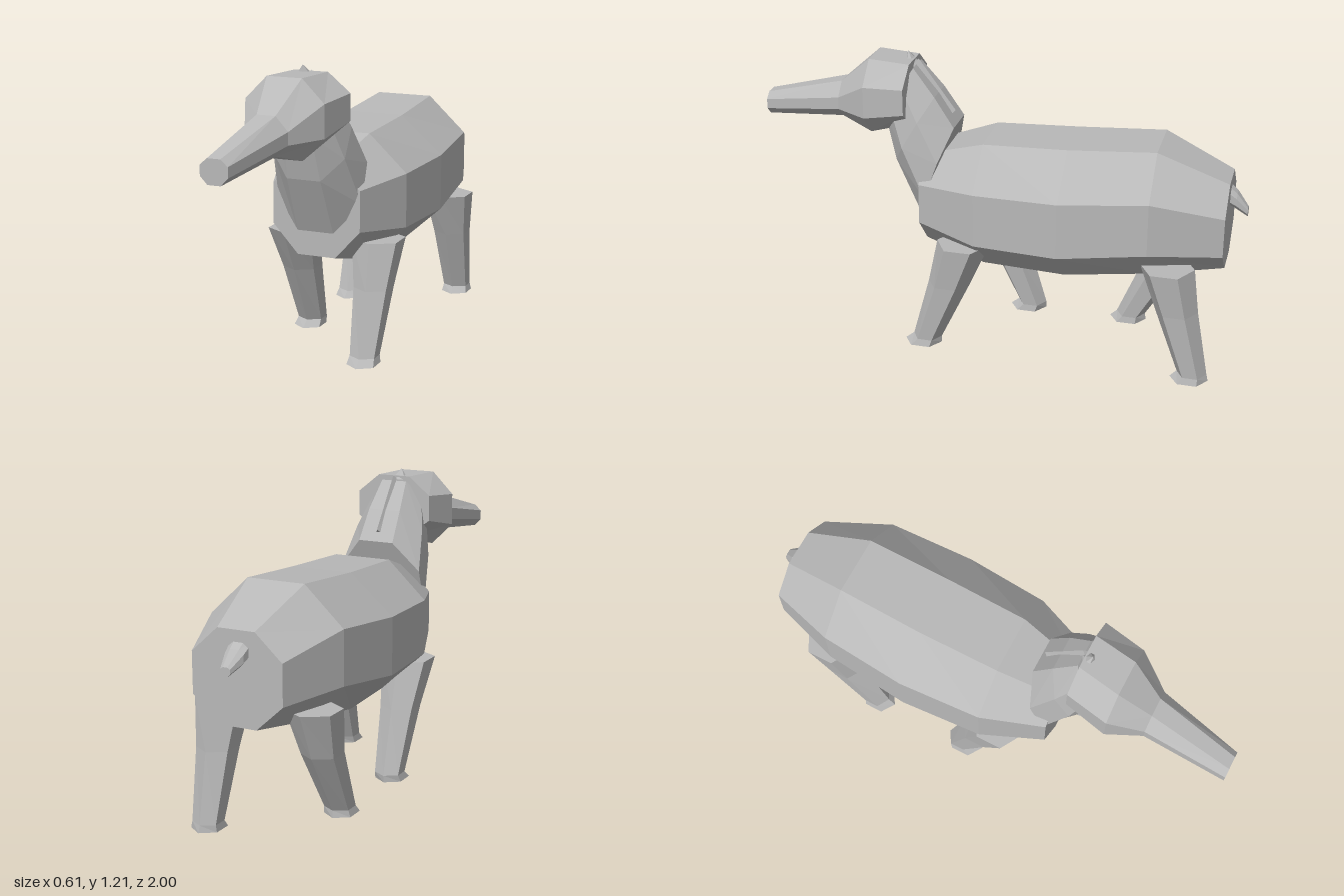
import * as THREE from 'three';

const grey = new THREE.MeshStandardMaterial({ color: 0xb8b8b8 });
grey.name = 'stone grey';

// Faceted closed skin over rings of equal point count, with flat end caps
function loft(name, rings) {
  const tris = [];
  const n = rings[0].length;
  for (let r = 0; r < rings.length - 1; r++) {
    for (let i = 0; i < n; i++) {
      const j = (i + 1) % n;
      const [a, b, c, d] = [rings[r][i], rings[r][j], rings[r + 1][j], rings[r + 1][i]];
      tris.push([a, b, c], [a, c, d]);
    }
  }
  const last = rings[rings.length - 1];
  for (let i = 1; i < n - 1; i++) {
    tris.push([rings[0][0], rings[0][i + 1], rings[0][i]], [last[0], last[i], last[i + 1]]);
  }
  // turn every face outward
  const volume = tris.reduce((s, [a, b, c]) => s + a.dot(b.clone().cross(c)), 0);
  const pts = tris.flatMap(([a, b, c]) => (volume < 0 ? [a, c, b] : [a, b, c]));
  const geo = new THREE.BufferGeometry().setFromPoints(pts);
  geo.computeVertexNormals();
  const mesh = new THREE.Mesh(geo, grey);
  mesh.name = name;
  return mesh;
}

// Octagon: narrow (flat) at the first and last level, wide at the middle two; levels are [y, z]
function octagon(cx, wide, flat, levels) {
  const widths = [flat, wide, wide, flat];
  const side = (s) => levels.map(([y, z], i) => new THREE.Vector3(cx + s * widths[i], y, z));
  return [...side(1), ...side(-1).reverse()];
}
const upright = (z, cx, wide, flat, ys) => octagon(cx, wide, flat, ys.map((y) => [y, z]));

// Octagon tilted between a back point and a front point
function tilted(cx, wide, flat, back, front) {
  const at = (t) => [back[0] + (front[0] - back[0]) * t, back[1] + (front[1] - back[1]) * t];
  return octagon(cx, wide, flat, [0, 0.3, 0.7, 1].map(at));
}

// Horizontal hexagon with corners to the front and back
function hexagon(x, y, z, rx, rz) {
  return Array.from({ length: 6 }, (_, i) => {
    const a = (i * Math.PI) / 3;
    return new THREE.Vector3(x + rx * Math.sin(a), y, z + rz * Math.cos(a));
  });
}

// Leg with hip, knee, ankle and flared foot
function leg(name, side, ground, hip, knee, ankle, foot) {
  return loft(name, [
    hexagon(side * 0.19, 0.485, hip, 0.108, 0.108),
    hexagon(side * 0.193, 0.3, knee, 0.08, 0.086),
    hexagon(side * 0.195, ground + 0.028, ankle, 0.06, 0.06),
    hexagon(side * 0.197, ground, foot, 0.066, 0.077),
  ]);
}

export function createModel() {
  const model = new THREE.Group();
  model.name = 'animal';

  model.add(loft('body', [
    upright(0.29, 0, 0.185, 0.08, [0.81, 0.715, 0.55, 0.435]),
    upright(0.04, 0, 0.28, 0.12, [0.89, 0.74, 0.52, 0.37]),
    upright(-0.3, 0, 0.303, 0.125, [0.905, 0.75, 0.52, 0.36]),
    upright(-0.65, 0, 0.28, 0.12, [0.93, 0.78, 0.565, 0.41]),
    upright(-0.93, 0, 0.187, 0.077, [0.81, 0.71, 0.55, 0.45]),
  ]));

  model.add(loft('neck', [
    tilted(0.005, 0.178, 0.076, [0.93, 0.17], [0.54, 0.31]),
    tilted(0.005, 0.15, 0.07, [1.05, 0.25], [0.77, 0.415]),
    tilted(0.005, 0.11, 0.055, [1.16, 0.34], [0.95, 0.46]),
  ]));

  // head turned a little to the right, with a long snout
  model.add(loft('head', [
    upright(0.35, 0.01, 0.162, 0.07, [1.18, 1.105, 1.0, 0.93]),
    upright(0.525, -0.018, 0.162, 0.072, [1.18, 1.09, 0.96, 0.87]),
    upright(0.66, -0.027, 0.088, 0.038, [1.06, 1.005, 0.955, 0.91]),
    upright(1.0, -0.06, 0.055, 0.026, [0.965, 0.94, 0.9, 0.87]),
  ]));

  // low ridge down the back of the neck
  const ridgeRing = (w, y, z, h) => [
    new THREE.Vector3(0.005 - w, y - 0.03, z + 0.03),
    new THREE.Vector3(0.005 + w, y - 0.03, z + 0.03),
    new THREE.Vector3(0.005, y + h, z - h),
  ];
  model.add(loft('neckRidge', [
    ridgeRing(0.035, 0.965, 0.195, 0.012),
    ridgeRing(0.03, 1.17, 0.345, 0.012),
  ]));

  // small spike on the crown
  model.add(loft('crownSpike', [
    hexagon(-0.01, 1.165, 0.365, 0.035, 0.025),
    hexagon(-0.01, 1.205, 0.38, 0.002, 0.002),
  ]));

  model.add(loft('tail', [
    upright(-0.9, -0.01, 0.045, 0.022, [0.79, 0.77, 0.73, 0.71]),
    upright(-0.955, -0.008, 0.038, 0.018, [0.745, 0.73, 0.7, 0.68]),
    upright(-1.0, 0.003, 0.02, 0.01, [0.69, 0.683, 0.667, 0.655]),
  ]));

  // legs in mid stride
  model.add(
    leg('frontLeftLeg', 1, 0.015, 0.105, 0.165, 0.26, 0.278),
    leg('frontRightLeg', -1, 0.018, 0.085, 0.005, -0.095, -0.077),
    leg('backLeftLeg', 1, 0, -0.72, -0.765, -0.84, -0.83),
    leg('backRightLeg', -1, 0.02, -0.71, -0.655, -0.525, -0.513),
  );
  return model;
}
